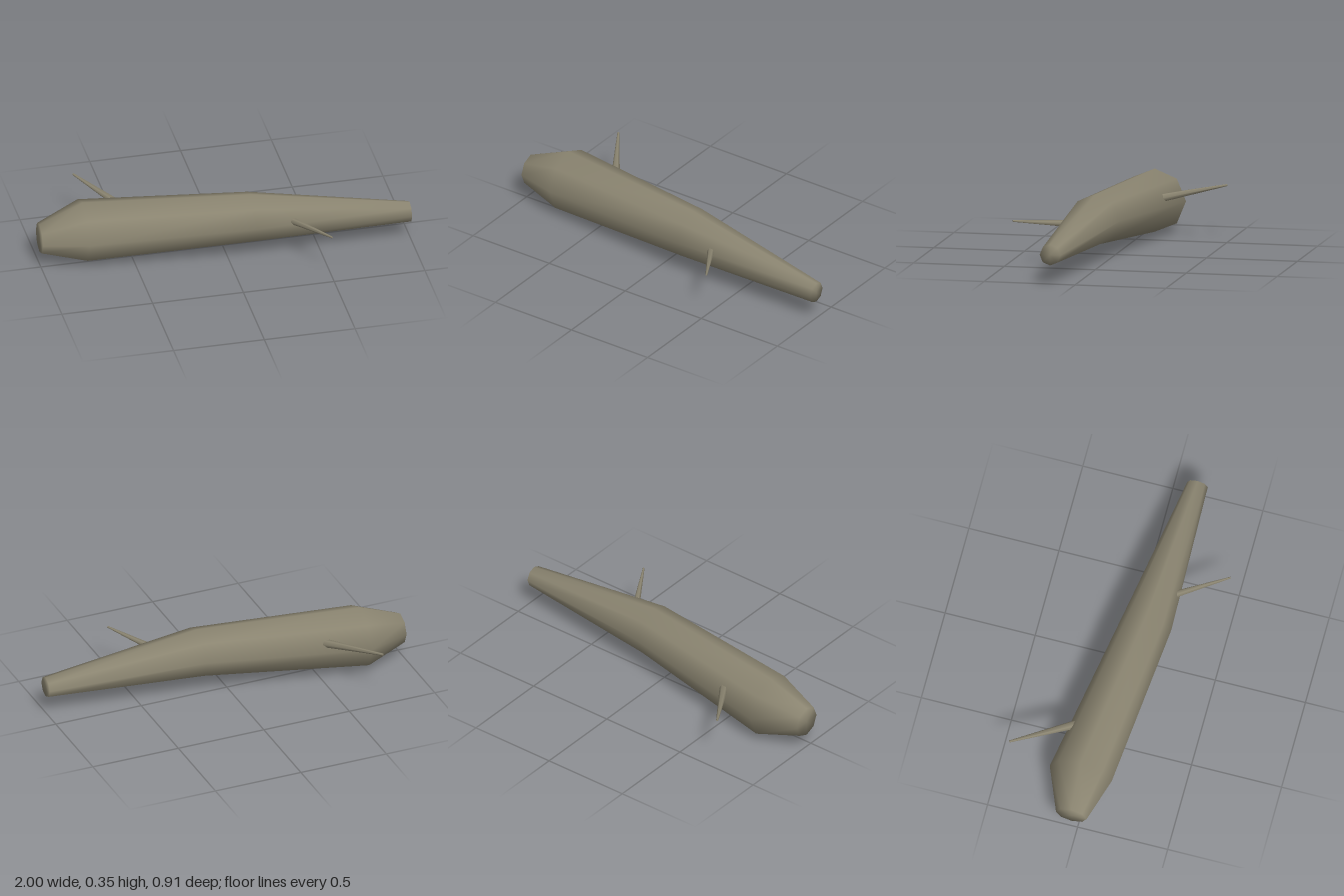
import * as THREE from 'three';

const SIDES = 8;

// Trunk cross-sections: x, centre y, centre z, radius
const RINGS = [
  [-1, 0.165, -0.035, 0.085],
  [-0.76, 0.177, -0.046, 0.172],
  [0.14, 0.214, 0.08, 0.138],
  [1, 0.163, 0.137, 0.057],
];

// Octagonal rings joined along x, closed with a fan at each end
function trunkGeometry() {
  const positions = [];
  const index = [];
  for (const [x, y, z, r] of RINGS) {
    for (let i = 0; i < SIDES; i++) {
      const a = (i / SIDES) * Math.PI * 2;
      positions.push(x, y + r * Math.cos(a), z + r * Math.sin(a));
    }
  }
  for (let k = 0; k < RINGS.length - 1; k++) {
    for (let i = 0; i < SIDES; i++) {
      const a = k * SIDES + i;
      const b = k * SIDES + ((i + 1) % SIDES);
      index.push(a, b, a + SIDES, b, b + SIDES, a + SIDES);
    }
  }
  const last = (RINGS.length - 1) * SIDES;
  const startCentre = RINGS.length * SIDES;
  for (const ring of [RINGS[0], RINGS[RINGS.length - 1]]) {
    positions.push(ring[0], ring[1], ring[2]);
  }
  for (let i = 0; i < SIDES; i++) {
    const j = (i + 1) % SIDES;
    index.push(startCentre, j, i);
    index.push(startCentre + 1, last + i, last + j);
  }
  const geometry = new THREE.BufferGeometry();
  geometry.setAttribute('position', new THREE.Float32BufferAttribute(positions, 3));
  geometry.setIndex(index);
  geometry.computeVertexNormals();
  return geometry;
}

// Tapered twig from base to tip
function makeBranch(name, base, tip, baseRadius, tipRadius, material) {
  const from = new THREE.Vector3(...base);
  const to = new THREE.Vector3(...tip);
  const axis = to.clone().sub(from);
  const mesh = new THREE.Mesh(
    new THREE.CylinderGeometry(tipRadius, baseRadius, axis.length(), 6),
    material
  );
  mesh.name = name;
  mesh.position.copy(from).add(to).multiplyScalar(0.5);
  mesh.quaternion.setFromUnitVectors(new THREE.Vector3(0, 1, 0), axis.normalize());
  return mesh;
}

export function createModel() {
  const group = new THREE.Group();
  group.name = 'fallenLog';

  const bark = new THREE.MeshStandardMaterial({ color: 0x8a8470 });
  bark.name = 'bark';

  const trunk = new THREE.Mesh(trunkGeometry(), bark);
  trunk.name = 'trunk';
  group.add(trunk);

  group.add(makeBranch('backBranch', [-0.51, 0.232, -0.13], [-0.718, 0.281, -0.453], 0.024, 0.006, bark));
  group.add(makeBranch('frontBranch', [0.335, 0.222, 0.175], [0.5, 0.254, 0.453], 0.02, 0.005, bark));

  return group;
}
